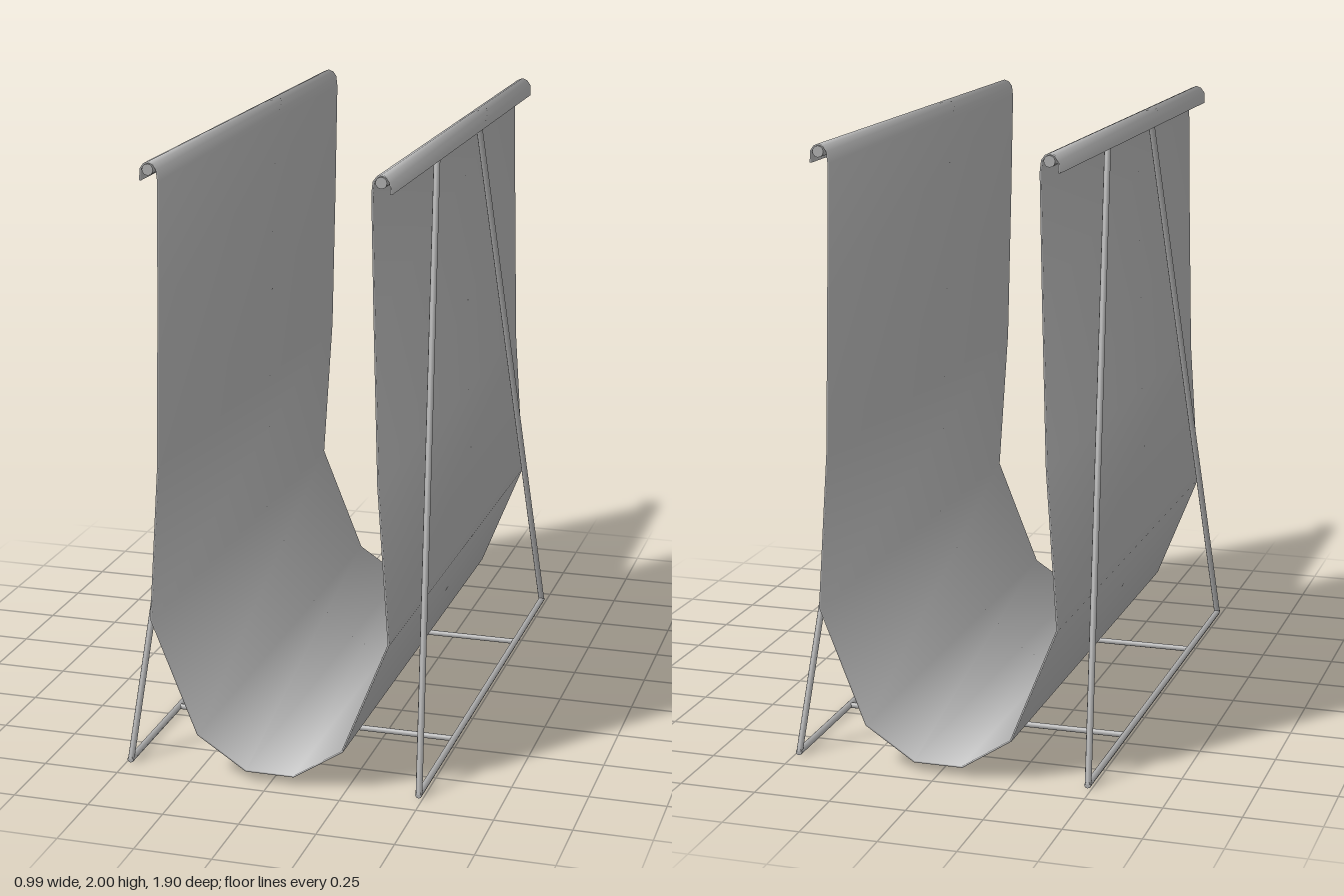
import * as THREE from 'three';

export function createModel() {
  const group = new THREE.Group();
  group.name = 'magazineSling';
  const grey = new THREE.MeshStandardMaterial({ color: 0xacacac });

  // Round rod between two points
  function rod(name, from, to, radius, sides = 8) {
    const a = new THREE.Vector3(...from), b = new THREE.Vector3(...to);
    const dir = b.clone().sub(a);
    const mesh = new THREE.Mesh(new THREE.CylinderGeometry(radius, radius, dir.length(), sides), grey);
    mesh.position.copy(a).add(b).multiplyScalar(0.5);
    mesh.quaternion.setFromUnitVectors(new THREE.Vector3(0, 1, 0), dir.normalize());
    mesh.name = name;
    group.add(mesh);
  }

  // Hanging cloth: half profile from the bottom up and over the top rod, mirrored
  const half = [
    [0.08, 0.034], [0.242, 0.14], [0.393, 0.518], [0.358, 1.03], [0.345, 1.55],
    [0.337, 1.94], [0.341, 1.976], [0.352, 1.991], [0.367, 1.997], [0.382, 1.991],
    [0.393, 1.976], [0.395, 1.94],
  ];
  const profile = [...half.map(([x, y]) => [-x, y]).reverse(), ...half]
    .map(([x, y]) => new THREE.Vector2(x, y));
  const last = profile.length - 1;
  const thickness = 0.006, halfDepth = 0.94;
  // Each profile point carries a thin four-cornered section: [outward side, z side]
  const corners = [[1, 1], [1, -1], [-1, -1], [-1, 1]];
  const positions = [], normals = [], index = [];
  const direction = (i) => profile[i + 1].clone().sub(profile[i]).normalize();
  profile.forEach((p, i) => {
    const t = direction(Math.max(i - 1, 0)).add(direction(Math.min(i, last - 1))).normalize();
    for (const [side, end] of corners) {
      const d = side * thickness / 2;
      positions.push(p.x + t.y * d, p.y - t.x * d, end * halfDepth);
      // Soft normals roll over the cloth's front and back hems
      normals.push(...new THREE.Vector3(t.y * side, -t.x * side, end).normalize().toArray());
    }
    if (i === last) return;
    for (let a = 0; a < 4; a++) {
      const A = i * 4 + a, B = i * 4 + (a + 1) % 4;
      index.push(A, B, B + 4, A, B + 4, A + 4);
    }
  });
  const e = last * 4;
  index.push(3, 2, 1, 3, 1, 0, e, e + 1, e + 2, e, e + 2, e + 3);
  const cloth = new THREE.BufferGeometry();
  cloth.setAttribute('position', new THREE.Float32BufferAttribute(positions, 3));
  cloth.setAttribute('normal', new THREE.Float32BufferAttribute(normals, 3));
  cloth.setIndex(index);
  const sling = new THREE.Mesh(cloth, grey);
  sling.name = 'sling';
  group.add(sling);

  // Side frames: top rod, two sloping legs and a floor rail
  for (const s of [-1, 1]) {
    rod('topRod', [s * 0.367, 1.976, -0.95], [s * 0.367, 1.976, 0.95], 0.018, 12);
    rod('floorRail', [s * 0.486, 0.011, -0.915], [s * 0.486, 0.011, 0.915], 0.011);
    for (const z of [-1, 1]) {
      rod('leg', [s * 0.486, 0.011, z * 0.908], [s * 0.363, 1.965, z * 0.275], 0.011);
    }
  }

  // Crossbars joining the floor rails
  for (const z of [-0.455, 0.455]) {
    rod('crossbar', [-0.486, 0.011, z], [0.486, 0.011, z], 0.01);
  }
  return group;
}
